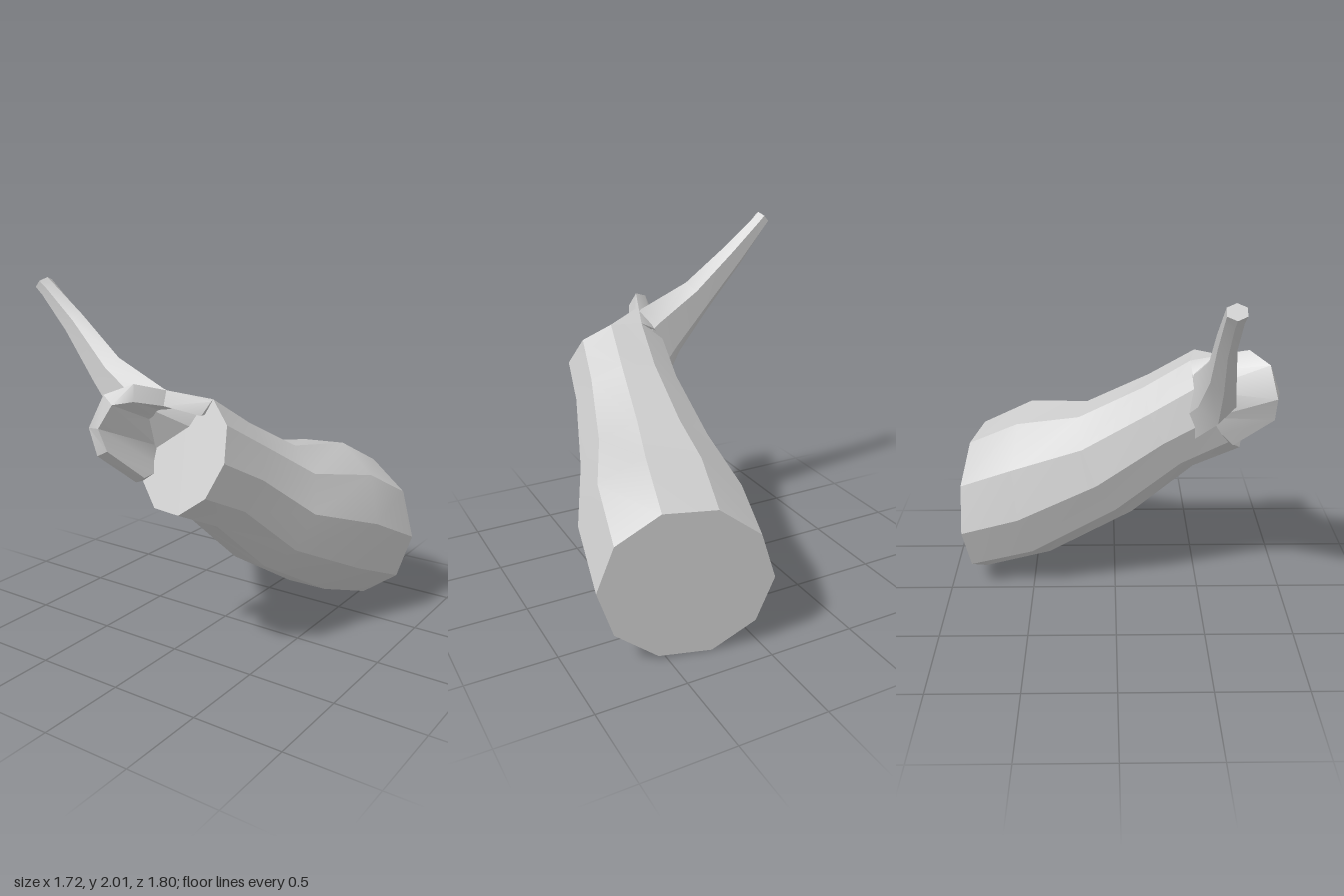
import * as THREE from 'three';
import { toCreasedNormals } from 'three/addons/utils/BufferGeometryUtils.js';

// Skin closed rings of points into a capped solid with outward faces
function loft(rings) {
  const n = rings[0].length;
  const tris = [];
  for (let i = 0; i < rings.length - 1; i++) {
    for (let j = 0; j < n; j++) {
      const k = (j + 1) % n;
      const a = rings[i][j], b = rings[i][k], c = rings[i + 1][k], d = rings[i + 1][j];
      tris.push([a, b, c], [a, c, d]);
    }
  }
  const cap = (ring, flip) => {
    const mid = new THREE.Vector3();
    ring.forEach((p) => mid.addScaledVector(p, 1 / n));
    ring.forEach((p, j) => {
      const q = ring[(j + 1) % n];
      tris.push(flip ? [mid, q, p] : [mid, p, q]);
    });
  };
  cap(rings[0], true);
  cap(rings[rings.length - 1], false);
  // signed volume tells whether the faces point inward
  const cross = new THREE.Vector3();
  const volume = tris.reduce((s, [a, b, c]) => s + a.dot(cross.crossVectors(b, c)), 0);
  if (volume < 0) tris.forEach((t) => t.reverse());
  const geo = new THREE.BufferGeometry().setFromPoints(tris.flat());
  geo.computeVertexNormals();
  return toCreasedNormals(geo, 0.45);
}

const V = (p) => new THREE.Vector3(...p);

// Point on a skewed ellipse: centre c, half axes u and v, scaled by s
function onRing({ c, u, v }, degrees, s = 1) {
  const a = THREE.MathUtils.degToRad(degrees);
  return V(c).addScaledVector(V(u), s * Math.cos(a)).addScaledVector(V(v), s * Math.sin(a));
}

function ring(frame, sides, start = 0) {
  return Array.from({ length: sides }, (_, i) => onRing(frame, start + (i * 360) / sides));
}

export function createModel() {
  const group = new THREE.Group();
  const material = new THREE.MeshStandardMaterial({ color: 0xcccccc, side: THREE.DoubleSide });
  const add = (name, rings) => {
    const mesh = new THREE.Mesh(loft(rings), material);
    mesh.name = name;
    group.add(mesh);
  };

  // Ten-sided trunk, from the narrow front cut to the wide back cut
  const trunk = [
    { c: [0.15, 1.17, 0.59], u: [0.29, 0.01, 0.06], v: [0, 0.28, -0.16] },
    { c: [0.195, 1.02, 0.33], u: [0.305, 0.02, 0.06], v: [0, 0.26, -0.155] },
    { c: [0.25, 0.76, -0.03], u: [0.37, 0.02, 0.08], v: [0, 0.325, -0.165] },
    { c: [0.34, 0.58, -0.46], u: [0.46, 0.06, 0.11], v: [0, 0.455, -0.09] },
    { c: [0.4, 0.43, -0.815], u: [0.46, 0.03, 0.095], v: [0, 0.45, -0.03] },
  ];
  add('trunk', trunk.map((f) => ring(f, 10)));

  // Tapering side branch: centre, half height across it, half depth
  const branch = [
    [[0.06, 1.2, 0.44], 0.24, 0.08],
    [[-0.13, 1.33, 0.55], 0.2, 0.12],
    [[-0.38, 1.52, 0.545], 0.12, 0.078],
    [[-0.62, 1.755, 0.525], 0.08, 0.055],
    [[-0.79, 1.925, 0.53], 0.05, 0.052],
    [[-0.83, 1.965, 0.535], 0.045, 0.055],
  ];
  add('branch', branch.map(([c, h, d]) =>
    ring({ c, u: [0.65 * h, 0.75 * h, 0], v: [0, 0, d] }, 6)));

  // Curled shell of bark standing on the rim of the front cut:
  // angle on the rim, outer lip point, inner lip point
  const lip = [
    [72, [0.24, 1.43, 0.475], [0.21, 1.36, 0.52]],
    [108, [0.03, 1.48, 0.57], [0.05, 1.41, 0.62]],
    [126, [-0.05, 1.53, 0.73], [-0.02, 1.45, 0.77]],
    [148, [-0.16, 1.48, 0.83], [-0.09, 1.44, 0.85]],
    [178, [-0.23, 1.31, 0.87], [-0.15, 1.32, 0.89]],
    [200, [-0.18, 1.17, 0.87], [-0.1, 1.21, 0.885]],
    [216, [-0.11, 0.99, 0.66], [-0.02, 1.04, 0.7]],
  ];
  add('barkShell', lip.map(([angle, outer, inner]) =>
    [onRing(trunk[0], angle), V(outer), V(inner), onRing(trunk[0], angle, 0.72)]));

  return group;
}
